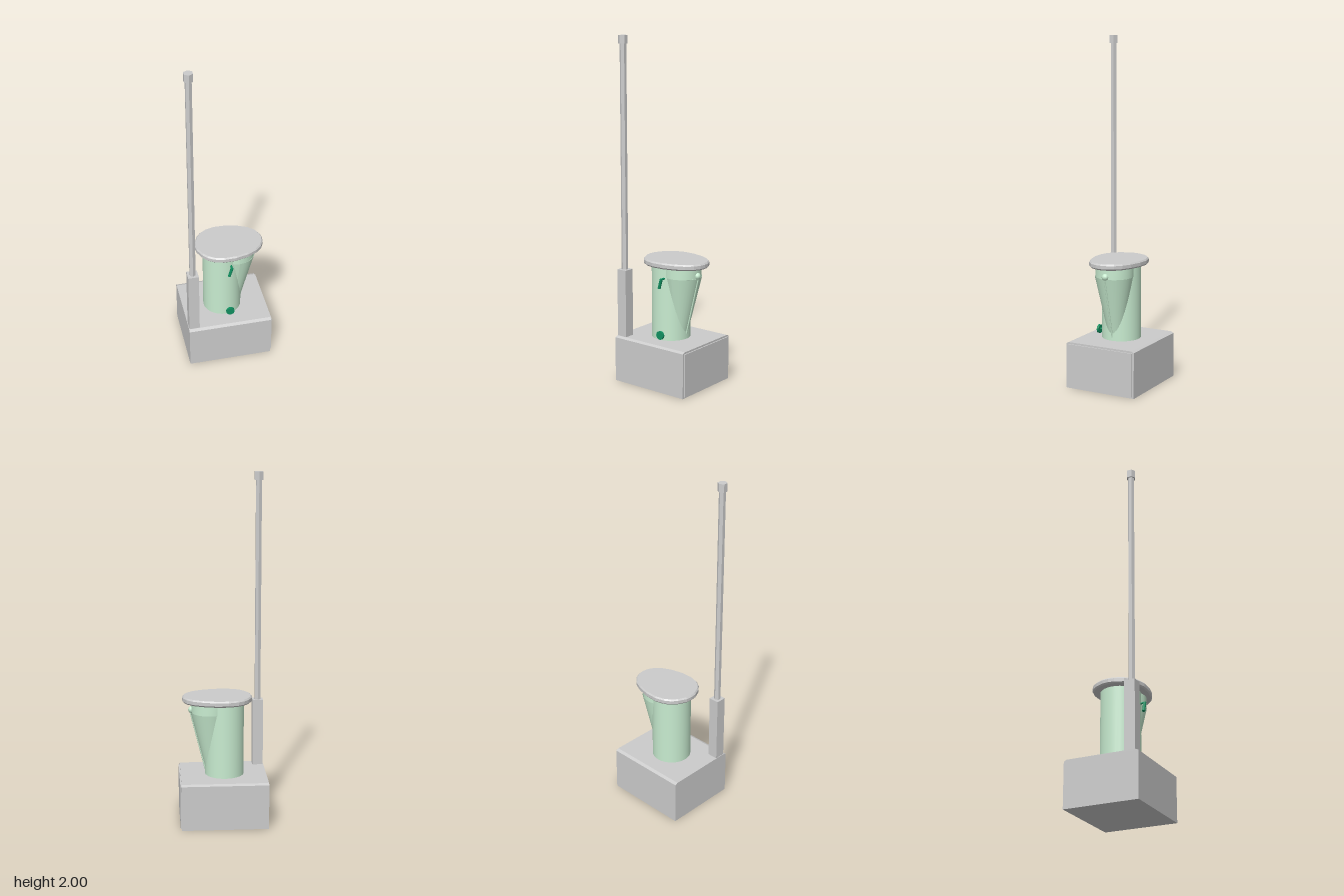
import * as THREE from 'three';

const grey = new THREE.MeshStandardMaterial({ color: 0xcccccc });
const greyFlat = new THREE.MeshStandardMaterial({ color: 0xcccccc, flatShading: true });
const paleGreen = new THREE.MeshStandardMaterial({ color: 0xc8ecd0, side: THREE.DoubleSide });
const darkGreen = new THREE.MeshStandardMaterial({ color: 0x109060 });

export function createModel() {
  const model = new THREE.Group();

  const add = (name, geometry, material, x = 0, y = 0, z = 0) => {
    const mesh = new THREE.Mesh(geometry, material);
    mesh.name = name;
    mesh.position.set(x, y, z);
    model.add(mesh);
    return mesh;
  };

  // Straight rod between two points
  const rod = (name, a, b, radius, sides, material) => {
    const from = new THREE.Vector3(...a), to = new THREE.Vector3(...b);
    const dir = to.clone().sub(from);
    const mesh = add(name, new THREE.CylinderGeometry(radius, radius, dir.length(), sides), material);
    mesh.position.copy(from).add(to).multiplyScalar(0.5);
    mesh.quaternion.setFromUnitVectors(new THREE.Vector3(0, 1, 0), dir.normalize());
    return mesh;
  };

  // Smooth horizontal circle sections [y, centre x, radius] joined by a wall
  const loft = (sections, sides) => {
    const geometry = new THREE.CylinderGeometry(1, 1, 1, sides, sections.length - 1, true);
    const p = geometry.attributes.position;
    for (let i = 0; i < p.count; i++) {
      const [y, cx, r] = sections[Math.floor(i / (sides + 1))];
      p.setXYZ(i, cx + p.getX(i) * r, y, p.getZ(i) * r);
    }
    geometry.computeVertexNormals();
    return geometry;
  };

  // Base block with sloping front and back top edges
  const profile = new THREE.Shape([
    [-0.218, 0], [0.218, 0], [0.218, 0.262], [0.2, 0.27], [-0.2, 0.27], [-0.218, 0.262],
  ].map(([z, y]) => new THREE.Vector2(z, y)));
  const base = new THREE.ExtrudeGeometry(profile, { depth: 0.497, bevelEnabled: false });
  base.rotateY(-Math.PI / 2);
  add('base', base, greyFlat, 0.244);
  add('basePanel', new THREE.BoxGeometry(0.012, 0.25, 0.416), greyFlat, 0.245, 0.134);

  // Post in the front corner with its socket and cap
  add('postSocket', new THREE.BoxGeometry(0.062, 0.405, 0.062), greyFlat, -0.219, 0.4645, 0.167);
  add('post', new THREE.CylinderGeometry(0.019, 0.019, 1.3, 6), greyFlat, -0.219, 1.31, 0.167);
  add('postCap', new THREE.CylinderGeometry(0.027, 0.027, 0.047, 6), greyFlat, -0.219, 1.9765, 0.167);

  // Round body with a tapering chute on its left side
  add('body', new THREE.CylinderGeometry(0.113, 0.113, 0.437, 32), paleGreen, -0.011, 0.4865);
  add('chute', loft([[0.71, 0.07, 0.11], [0.642, 0.07, 0.11]], 32), paleGreen);
  add('chuteTaper', loft([[0.642, 0.076, 0.109], [0.268, 0.052, 0.038]], 32), paleGreen);
  rod('chuteSpine', [0.187, 0.65, 0], [0.092, 0.268, 0], 0.005, 8, paleGreen);
  add('chuteKnob', new THREE.SphereGeometry(0.02, 12, 8), paleGreen, 0.178, 0.655);

  // Egg-shaped lid with bevelled rim
  const half = [
    [-0.172, 0], [-0.168, 0.035], [-0.145, 0.085], [-0.12, 0.115], [-0.085, 0.138], [-0.03, 0.153],
    [0.045, 0.151], [0.12, 0.132], [0.175, 0.105], [0.21, 0.072], [0.228, 0.035], [0.233, 0],
  ];
  const outline = [...half, ...half.slice(1, -1).reverse().map(([x, z]) => [x, -z])];
  const inset = outline.map(([x, z]) => new THREE.Vector2(0.03 + (x - 0.03) * 0.96, z * 0.96));
  const lid = new THREE.ExtrudeGeometry(new THREE.Shape(inset), {
    depth: 0.019, bevelThickness: 0.008, bevelSize: 0.007, bevelSegments: 1,
  });
  lid.rotateX(-Math.PI / 2);
  add('lid', lid, grey, 0, 0.711);

  // Lever and round button on the front of the body
  rod('lever', [0.022, 0.64, 0.132], [0.006, 0.582, 0.132], 0.009, 8, darkGreen);
  rod('leverPivot', [0.022, 0.637, 0.09], [0.022, 0.637, 0.135], 0.006, 8, darkGreen);
  rod('button', [0.013, 0.305, 0.125], [0.013, 0.305, 0.138], 0.025, 16, darkGreen);
  rod('buttonStem', [0.013, 0.305, 0.09], [0.013, 0.305, 0.128], 0.007, 8, darkGreen);

  return model;
}
